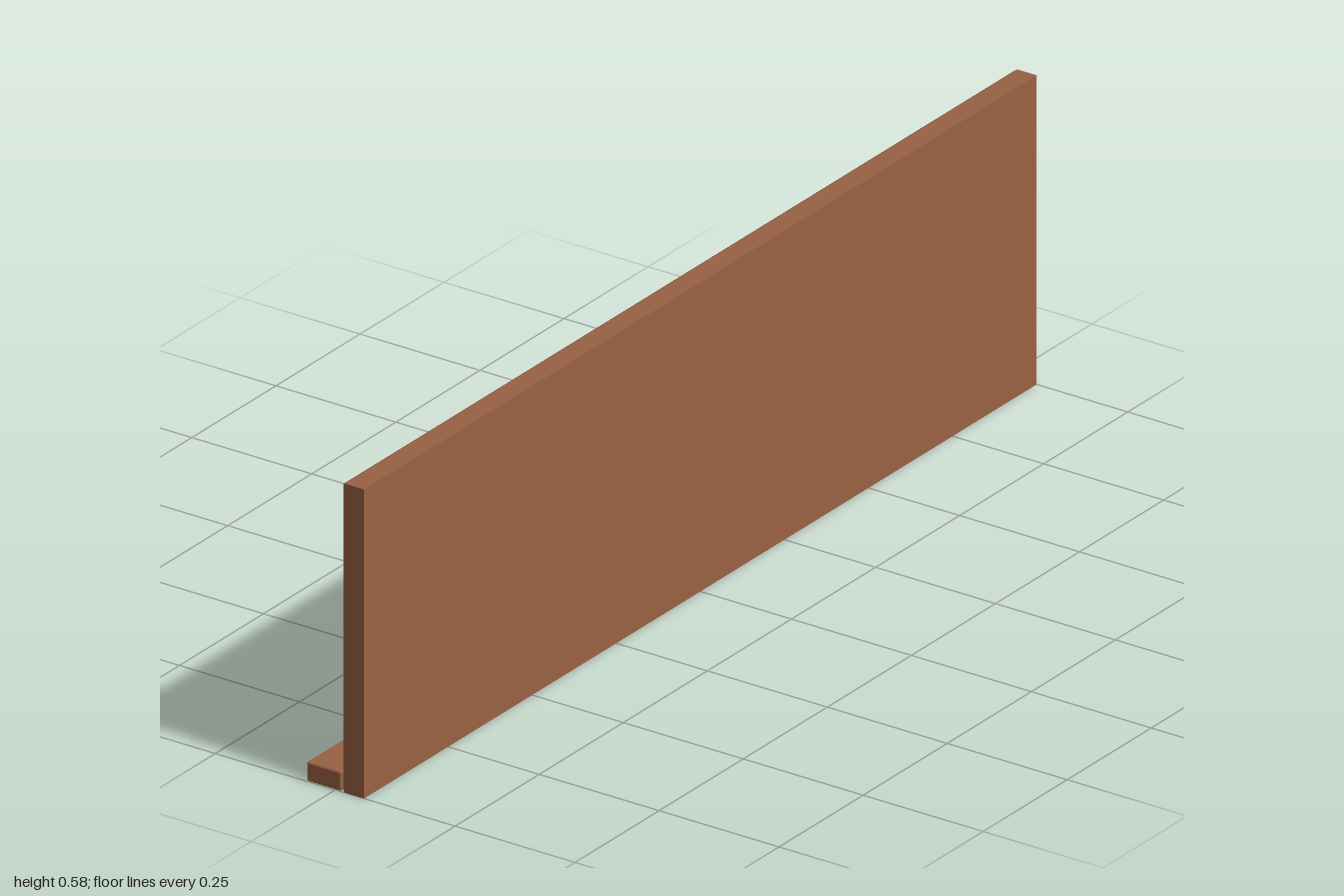
import * as THREE from 'three';
import { RoundedBoxGeometry } from 'three/addons/geometries/RoundedBoxGeometry.js';

const W = 2, H = 0.585;

// Sweeps a profile of [inset, z] points around a mitred rectangle
function mitredFrame(profile) {
  const corners = [[-1, -1], [1, -1], [1, 1], [-1, 1]];
  const point = (c, [inset, z]) => [
    c[0] * (W / 2 - inset), H / 2 + c[1] * (H / 2 - inset), z,
  ];
  const pos = [];
  for (let i = 0; i < 4; i++) {
    const c0 = corners[i], c1 = corners[(i + 1) % 4];
    for (let j = 0; j < profile.length - 1; j++) {
      const a = point(c0, profile[j]), b = point(c0, profile[j + 1]);
      const c = point(c1, profile[j + 1]), d = point(c1, profile[j]);
      pos.push(...a, ...b, ...d, ...b, ...c, ...d);
    }
  }
  const geometry = new THREE.BufferGeometry();
  geometry.setAttribute('position', new THREE.Float32BufferAttribute(pos, 3));
  geometry.computeVertexNormals();
  return geometry;
}

export function createModel() {
  const group = new THREE.Group();
  group.name = 'chalkboard';
  const wood = new THREE.MeshStandardMaterial({ name: 'brown wood', color: 0x9a6244 });
  const green = new THREE.MeshStandardMaterial({ name: 'board green', color: 0x4a7a20 });

  const add = (name, geometry, material, y, z) => {
    const mesh = new THREE.Mesh(geometry, material);
    mesh.name = name;
    mesh.position.set(0, y, z);
    group.add(mesh);
    return mesh;
  };

  // Frame with bevelled outer and inner edges
  add('frame', mitredFrame([
    [0, 0.06], [0, 0.02], [0.003, 0.015], [0.008, 0.012],
    [0.025, 0.012], [0.03, 0.016], [0.03, 0.042],
  ]), wood, 0, 0);

  // Flat wooden panel closing the side against the wall
  add('backing', new THREE.PlaneGeometry(W, H), wood, H / 2, 0.06);

  // Writing surface, recessed inside the frame and facing -z
  const board = add('writingSurface', new THREE.PlaneGeometry(W - 0.06, H - 0.06), green, H / 2, 0.042);
  board.rotation.y = Math.PI;

  // Chalk ledge along the bottom
  add('chalkLedge', new RoundedBoxGeometry(W, 0.037, 0.072, 2, 0.004), wood, 0.0185, -0.024);

  return group;
}
